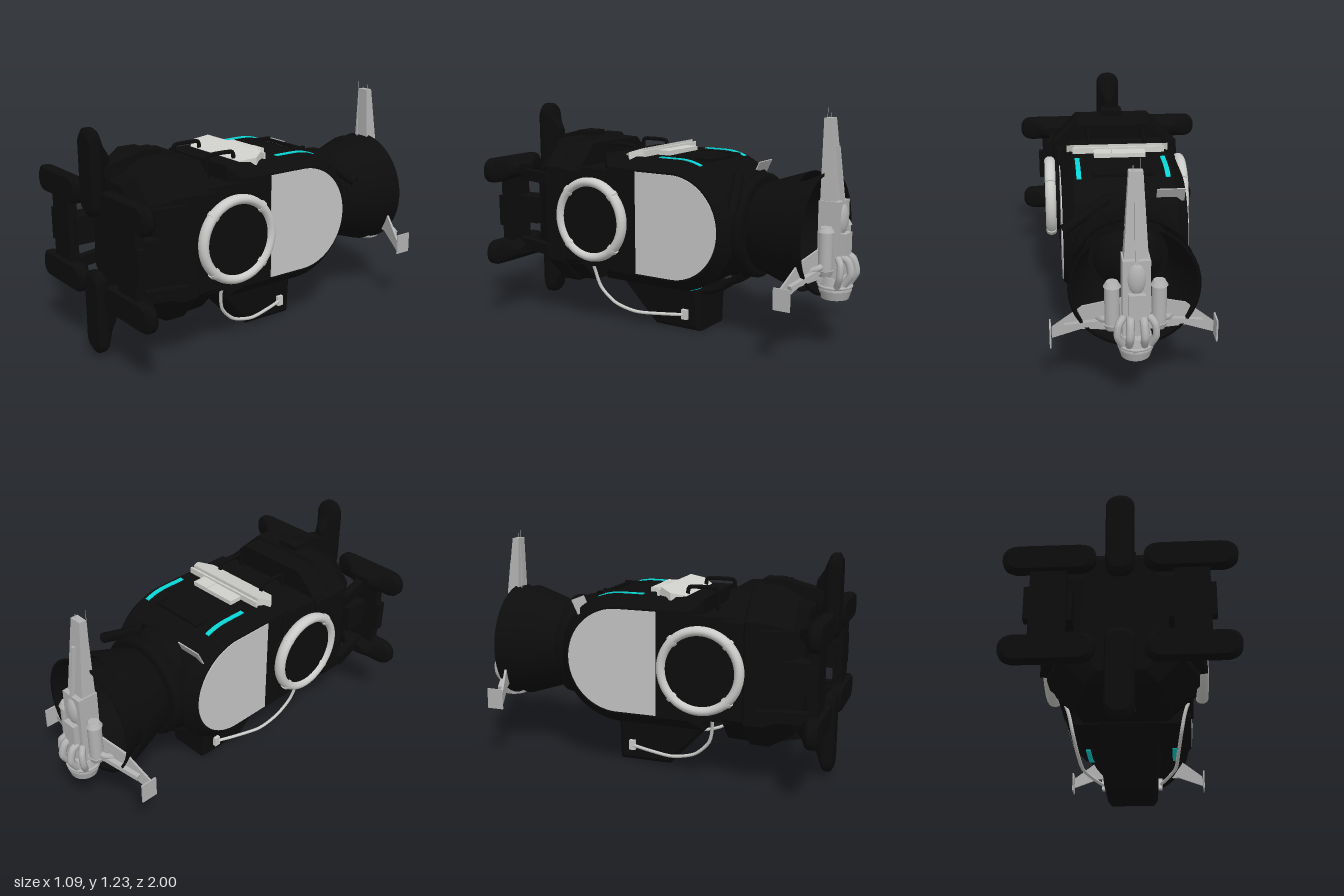
import * as THREE from 'three';

const V = (x, y, z) => new THREE.Vector3(x, y, z);
const CY = 0.605; // height of the long axis
const mat = (name, color, side = THREE.FrontSide) => Object.assign(new THREE.MeshStandardMaterial({ color, side }), { name });

export function createModel() {
  const black = mat('hull black', 0x0c0c0c, THREE.DoubleSide);
  const panelGrey = mat('panel grey', 0xc4c4c4);
  const ringGrey = mat('ring grey', 0xcacac8);
  const slabGrey = mat('slab grey', 0xd0d0cc);
  const shipGrey = mat('craft grey', 0xb2b2b2, THREE.DoubleSide);
  const cyan = mat('light cyan', 0x08d6d6, THREE.DoubleSide);
  const root = new THREE.Group();

  const add = (name, geo, m, x = 0, y = 0, z = 0, parent = root) => {
    const mesh = new THREE.Mesh(geo, m);
    mesh.name = name;
    mesh.position.set(x, y, z);
    parent.add(mesh);
    return mesh;
  };
  const box = (name, w, h, d, m, x, y, z, p) => add(name, new THREE.BoxGeometry(w, h, d), m, x, y, z, p);
  const beam = (name, a, b, w, h, m) => {
    const o = box(name, w, h, a.distanceTo(b), m, 0, 0, 0);
    o.position.copy(a).lerp(b, 0.5);
    o.lookAt(b);
    return o;
  };
  const tube = (name, pts, r, m) =>
    add(name, new THREE.TubeGeometry(new THREE.CatmullRomCurve3(pts, false, 'catmullrom', 0.4), 32, r, 8), m);
  const rod = (name, a, b, r, m) => tube(name, [a, b], r, m);
  // surface of revolution about the long axis, points are [radius, z]
  const lathe = (name, pts, seg = 40) => add(name,
    new THREE.LatheGeometry(pts.map(p => new THREE.Vector2(...p)), seg).rotateX(Math.PI / 2), black, 0, CY, 0);
  // side profile [z, y] stretched across the width
  const acrossX = (shape, width, bevel) => new THREE.ExtrudeGeometry(shape, {
    depth: width - 2 * bevel, bevelEnabled: bevel > 0, bevelSize: bevel, bevelThickness: bevel,
    bevelOffset: -bevel, bevelSegments: 1, curveSegments: 24,
  }).translate(0, 0, bevel - width / 2).rotateY(Math.PI / 2);
  // flat-shaded skin over one outline, scaled at each station [z, sx, sy]
  const loft = (outline, stations) => {
    const rings = stations.map(([z, sx, sy]) => outline.map(p => V(p.x * sx, p.y * sy, z)));
    const pos = [], n = outline.length, tri = (...t) => t.forEach(p => pos.push(p.x, p.y, p.z));
    for (let k = 0; k + 1 < rings.length; k++)
      for (let i = 0; i < n; i++) {
        const j = (i + 1) % n, a = rings[k][i], b = rings[k][j], c = rings[k + 1][j], d = rings[k + 1][i];
        tri(a, b, c); tri(a, c, d);
      }
    const end = rings[rings.length - 1];
    for (let i = 1; i + 1 < n; i++) {
      tri(rings[0][0], rings[0][i + 1], rings[0][i]);
      tri(end[0], end[i], end[i + 1]);
    }
    const g = new THREE.BufferGeometry();
    g.setAttribute('position', new THREE.Float32BufferAttribute(pos, 3));
    g.computeVertexNormals();
    return g;
  };
  // D outline with a round rear end
  const dShape = (zFront, r) => {
    const s = new THREE.Shape();
    s.moveTo(-zFront, CY - r);
    s.lineTo(0.1, CY - r);
    s.absarc(0.1, CY, r, -Math.PI / 2, Math.PI / 2, false);
    s.lineTo(-zFront, CY + r);
    s.closePath();
    return s;
  };

  // main hull and drum block
  add('mainHull', acrossX(dShape(0.36, 0.345), 0.64, 0.06), black);
  box('drumBlock', 0.66, 0.54, 0.3, black, 0, CY, 0.38);

  // faceted front body
  const oct = [[0.37, -0.27], [0.37, 0.27], [0.22, 0.42], [-0.22, 0.42], [-0.37, 0.27], [-0.37, -0.27], [-0.22, -0.42], [0.22, -0.42]]
    .map(p => new THREE.Vector2(...p));
  add('frontBody', loft(oct, [[0.48, 0.93, 0.92], [0.59, 0.94, 0.93], [0.6, 0.97, 0.97], [0.7, 0.97, 0.97], [0.82, 0.76, 0.82], [0.865, 0.5, 0.7]]), black, 0, CY, 0);

  // landing pads with domed backs
  const pad = (name, x, y, w, h) => {
    const r = 0.06, s = new THREE.Shape();
    s.absarc(w / 2 - r, h / 2 - r, r, 0, Math.PI / 2);
    s.absarc(r - w / 2, h / 2 - r, r, Math.PI / 2, Math.PI);
    s.absarc(r - w / 2, r - h / 2, r, Math.PI, 1.5 * Math.PI);
    s.absarc(w / 2 - r, r - h / 2, r, 1.5 * Math.PI, 2 * Math.PI);
    const pts = s.getPoints(5).slice(0, -1);
    add(name, loft(pts, [[0.875, 0.3, 0.35], [0.91, 0.55, 0.6], [0.94, 0.94, 0.94], [0.955, 1, 1], [0.985, 1, 1], [1, 0.88, 0.88]]), black, x, y, 0);
  };
  for (const s of [1, -1]) {
    pad('verticalPad', 0, CY + s * 0.3575, 0.135, 0.435);
    beam('verticalPadArm', V(0, CY + s * 0.35, 0.92), V(0, CY + s * 0.41, 0.68), 0.09, 0.06, black);
    box('verticalArmMount', 0.12, 0.05, 0.1, black, 0, CY + s * 0.41, 0.66);
    for (const t of [1, -1]) {
      pad('sidePad', s * 0.328, CY + t * 0.233, 0.435, 0.135);
      beam('sidePadArm', V(s * 0.31, CY + t * 0.2, 0.94), V(s * 0.375, CY + t * 0.2, 0.67), 0.045, 0.06, black);
    }
    box('padBracket', 0.17, 0.36, 0.05, black, s * 0.33, CY, 0.955);
    box('padBracketEdge', 0.04, 0.17, 0.05, black, s * 0.42, CY, 0.955);
    box('bracketLink', 0.12, 0.15, 0.16, black, s * 0.28, CY, 0.87);
  }

  // side drums, rings, panels, cables
  for (const s of [1, -1]) {
    add('sideDrum', new THREE.CylinderGeometry(0.2, 0.2, 0.08, 48).rotateZ(Math.PI / 2), black, s * 0.345, CY, 0.375);
    const ring = add('sideRing', new THREE.TorusGeometry(0.205, 0.025, 14, 56).rotateY(Math.PI / 2), ringGrey, s * 0.376, CY, 0.375);
    ring.scale.x = 1.25;
    for (let i = 0; i < 4; i++) {
      const a = Math.PI / 4 + i * Math.PI / 2;
      const clamp = add('ringClamp', new THREE.CylinderGeometry(0.031, 0.031, 0.02, 16), ringGrey,
        s * 0.376, CY + 0.205 * Math.sin(a), 0.375 + 0.205 * Math.cos(a));
      clamp.rotation.x = -a;
    }
    add('sidePanel', acrossX(dShape(0.12, 0.275), 0.006, 0), panelGrey, s * 0.322, 0, 0);
    tube('cable', [V(s * 0.33, 0.4, 0.42), V(s * 0.29, 0.3, 0.42), V(s * 0.268, 0.2, 0.395), V(s * 0.25, 0.12, 0.31),
      V(s * 0.235, 0.087, 0.18), V(s * 0.19, 0.087, 0.03), V(s * 0.15, 0.09, -0.08)], 0.009, ringGrey);
    box('cablePlug', 0.02, 0.055, 0.035, ringGrey, s * 0.15, 0.092, -0.08);
    tube('rollBar', [V(s * 0.155, 0.87, 0.4), V(s * 0.155, 0.97, 0.4), V(s * 0.155, 0.992, 0.38),
      V(s * 0.155, 0.992, 0.26), V(s * 0.155, 0.98, 0.24), V(s * 0.155, 0.94, 0.235)], 0.011, black);
    // light strips bent over the hull, above and below
    for (const t of [1, -1]) {
      const strip = new THREE.BoxGeometry(0.025, 0.006, 0.25, 1, 1, 10), p = strip.attributes.position;
      for (let i = 0; i < p.count; i++) {
        const z = p.getZ(i) - 0.105, dz = Math.min(0, z + 0.1);
        p.setXYZ(i, p.getX(i) + s * 0.23, CY + t * (Math.sqrt(0.347 ** 2 - dz * dz) + t * p.getY(i)), z);
      }
      strip.computeVertexNormals();
      add('lightStrip', strip, cyan);
    }
    add('lowerHoop', new THREE.TorusGeometry(0.385, 0.02, 8, 24, 1.0).rotateZ(-Math.PI / 2).rotateY(Math.PI / 2), black, s * 0.1, CY, -0.1);
  }

  // keel
  const keel = new THREE.Shape([[-0.37, 0.3], [-0.37, 0.26], [-0.13, 0], [0.16, 0], [0.16, 0.3]].map(p => new THREE.Vector2(...p)));
  const keelGeo = acrossX(keel, 0.31, 0.02), kp = keelGeo.attributes.position;
  for (let i = 0; i < kp.count; i++) kp.setX(i, kp.getX(i) * (0.84 + 0.16 * Math.min(1, kp.getY(i) / 0.2)));
  keelGeo.computeVertexNormals();
  add('keel', keelGeo, black);

  // roof equipment
  const slab = new THREE.Shape([[-0.28, -0.185], [-0.22, -0.25], [0.22, -0.25], [0.28, -0.185], [0.24, -0.12], [-0.24, -0.12]].map(p => new THREE.Vector2(...p)));
  const slabGeo = new THREE.ExtrudeGeometry(slab, { depth: 0.06, bevelEnabled: false }).rotateX(-Math.PI / 2);
  const sp = slabGeo.attributes.position;
  for (let i = 0; i < sp.count; i++) if (sp.getY(i) > 0.03) sp.setY(i, 0.06 - (sp.getZ(i) - 0.12) * 0.33);
  slabGeo.computeVertexNormals();
  add('roofSlab', slabGeo, slabGrey, 0, 0.935, 0);
  box('roofSlabBack', 0.5, 0.035, 0.012, slabGrey, 0, 0.965, 0.108);
  box('roofPlate', 0.18, 0.03, 0.075, slabGrey, -0.05, 0.958, 0.062);
  box('roofPlateSmall', 0.095, 0.034, 0.075, slabGrey, 0.09, 0.958, 0.062);
  for (const s of [1, -1]) {
    box('hatchRail', 0.02, 0.015, 0.24, black, s * 0.15, 0.945, -0.12);
    box('hatchBar', 0.3, 0.015, 0.02, black, 0, 0.94, -0.12 + s * 0.1);
  }
  box('rearFlag', 0.145, 0.085, 0.006, shipGrey, -0.23, 0.87, -0.34).rotation.x = -0.45;
  rod('rearPipe', V(0.09, 0.87, -0.37), V(0.32, 0.75, -0.47), 0.028, black);

  // collar and stepped nozzle
  lathe('rearCollar', [[0.01, -0.49], [0.25, -0.49], [0.275, -0.475], [0.275, -0.43], [0.262, -0.42], [0.262, -0.4], [0.285, -0.39], [0.285, -0.32]]);
  lathe('nozzle', [[0.3, -0.735], [0.31, -0.74], [0.225, -0.48]]);
  lathe('nozzleBell', [[0.3, -0.83], [0.315, -0.83], [0.265, -0.73], [0.2, -0.5]]);
  lathe('nozzleCore', [[0.01, -0.6], [0.07, -0.6], [0.1, -0.56], [0.15, -0.55], [0.18, -0.48]]);

  // docked craft: hull, tall fin and canopy
  const craft = new THREE.Group();
  craft.name = 'dockedCraft';
  root.add(craft);
  const cyl = (name, r1, r2, h, x, y, z, seg = 20) => add(name, new THREE.CylinderGeometry(r1, r2, h, seg), shipGrey, x, y, z, craft);
  const fin = new THREE.BoxGeometry(0.12, 0.46, 0.085, 1, 4, 1), fp = fin.attributes.position;
  for (let i = 0; i < fp.count; i++) {
    const t = fp.getY(i) / 0.46 + 0.5;
    fp.setX(i, fp.getX(i) * (1 - 0.45 * t));
    fp.setZ(i, fp.getZ(i) * (1 - 0.55 * t) + 0.025 * t);
  }
  fin.computeVertexNormals();
  add('craftFin', fin, shipGrey, 0, 0.955, -0.857, craft);
  box('craftFinRidge', 0.015, 0.3, 0.02, shipGrey, 0, 0.9, -0.895, craft).rotation.x = 0.13;
  cyl('craftAntenna', 0.001, 0.005, 0.4, -0.025, 1.03, -0.806, 6);
  cyl('craftAntennaShort', 0.002, 0.003, 0.06, 0.012, 1.18, -0.84, 6);
  box('craftBody', 0.13, 0.42, 0.11, shipGrey, 0, 0.57, -0.865, craft);
  box('craftSpine', 0.08, 0.2, 0.05, shipGrey, 0, 0.52, -0.925, craft);
  const canopy = add('craftCanopy', new THREE.SphereGeometry(0.05, 20, 14), shipGrey, 0, 0.69, -0.905, craft);
  canopy.scale.set(0.95, 1.7, 0.7);
  cyl('craftEngine', 0.075, 0.085, 0.07, 0, 0.36, -0.885, 24);
  cyl('craftEngineBell', 0.085, 0.07, 0.05, 0, 0.305, -0.885, 24);
  add('craftEngineRing', new THREE.TorusGeometry(0.082, 0.008, 8, 28).rotateX(Math.PI / 2), shipGrey, 0, 0.345, -0.885, craft);
  for (const s of [1, -1]) {
    cyl('craftNacelle', 0.036, 0.036, 0.2, s * 0.11, 0.54, -0.875);
    cyl('craftNacelleCap', 0.028, 0.042, 0.025, s * 0.11, 0.65, -0.875);
    cyl('craftNacelleBase', 0.042, 0.03, 0.03, s * 0.11, 0.43, -0.875);
    craft.add(tube('craftPipe', [V(s * 0.03, 0.5, -0.93), V(s * 0.032, 0.48, -0.965), V(s * 0.035, 0.42, -0.98), V(s * 0.035, 0.36, -0.945)], 0.02, shipGrey));
    craft.add(tube('craftSidePipe', [V(s * 0.06, 0.5, -0.92), V(s * 0.085, 0.47, -0.945), V(s * 0.09, 0.41, -0.945), V(s * 0.065, 0.35, -0.92)], 0.018, shipGrey));
    craft.add(tube('craftElbow', [V(s * 0.06, 0.5, -0.83), V(s * 0.1, 0.48, -0.865), V(s * 0.15, 0.46, -0.86), V(s * 0.175, 0.44, -0.81)], 0.017, shipGrey));
    // swept wing with an upright tip
    const wing = new THREE.Shape([[0, 0.57], [0.2, 0.5], [0.35, 0.37], [0.35, 0.31], [0.2, 0.38], [0, 0.4]].map(p => new THREE.Vector2(p[0] * s, p[1])));
    const w = add('craftWing', new THREE.ExtrudeGeometry(wing, { depth: 0.012, bevelEnabled: false }), shipGrey, s * 0.06, 0, -0.865, craft);
    w.rotation.y = -s * 0.31;
    box('craftWingTip', 0.008, 0.11, 0.09, shipGrey, s * 0.4, 0.35, -0.785, craft);
    beam('craftWingRib', V(s * 0.08, 0.46, -0.875), V(s * 0.33, 0.39, -0.79), 0.03, 0.025, shipGrey);
  }
  return root;
}
